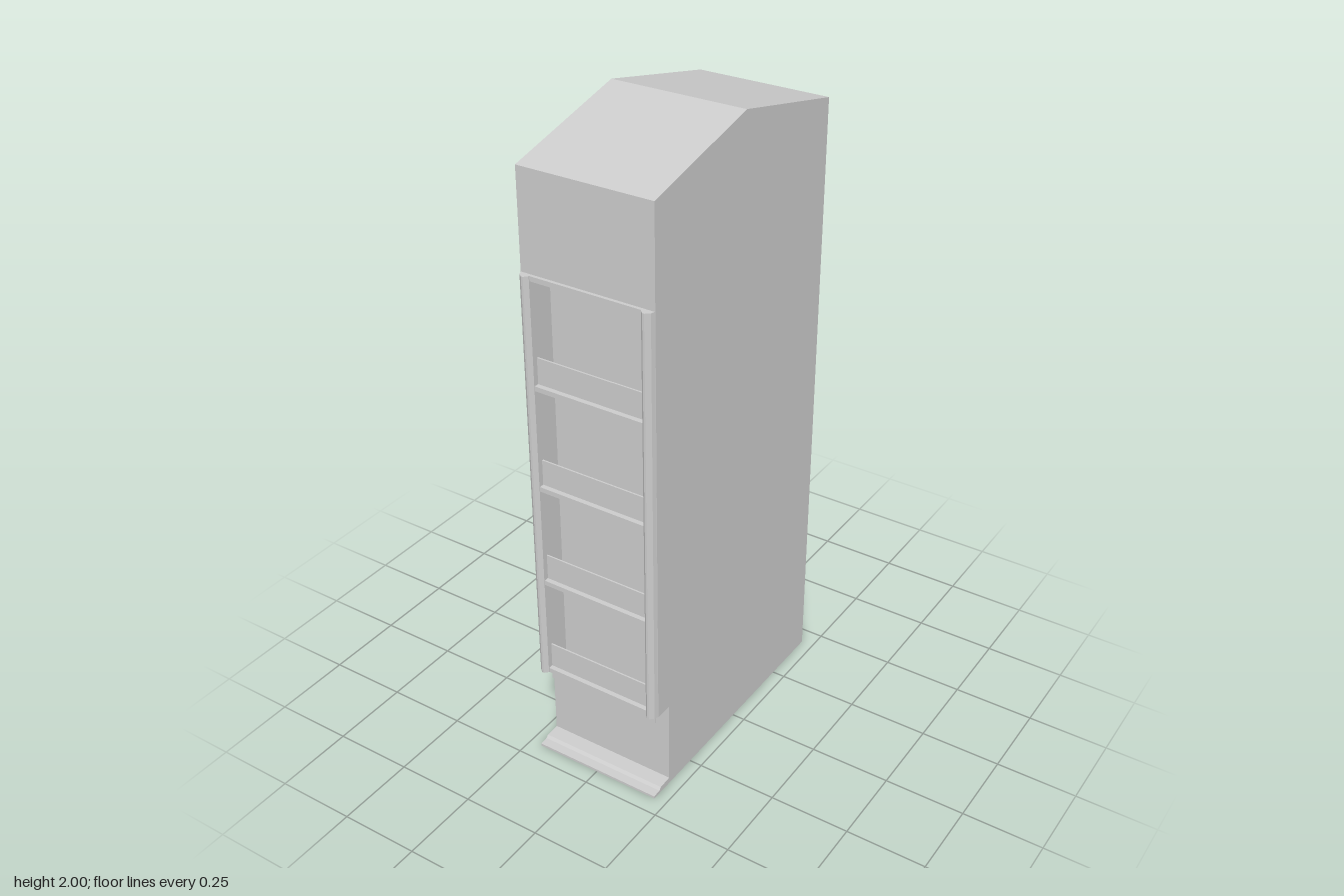
import * as THREE from 'three';

const HALF = 0.21;      // half width of the cabinet
const OPEN = 0.175;     // half width of the shelf opening
const BOTTOM = 0.297, TOP = 1.605; // height range of the shelf frame

export function createModel() {
  const group = new THREE.Group();
  const material = new THREE.MeshStandardMaterial({ color: 0xcccccc, flatShading: true });

  const add = (name, geometry) => {
    const mesh = new THREE.Mesh(geometry, material);
    mesh.name = name;
    group.add(mesh);
  };
  const extrude = (points, depth) => new THREE.ExtrudeGeometry(
    new THREE.Shape(points.map(([a, b]) => new THREE.Vector2(a, b))),
    { depth, bevelEnabled: false });
  // Side profile (z, y) swept across x
  const across = (name, points, x0, x1) =>
    add(name, extrude(points, x1 - x0).rotateY(-Math.PI / 2).translate(x1, 0, 0));
  // Box from minimum and maximum corners
  const box = (name, x0, x1, y0, y1, z0, z1) =>
    add(name, new THREE.BoxGeometry(x1 - x0, y1 - y0, z1 - z0)
      .translate((x0 + x1) / 2, (y0 + y1) / 2, (z0 + z1) / 2));

  // Cabinet core with the shelf recess, and the two full side panels
  const outline = (recess) => [
    [-0.44, 0], [0.365, 0], [0.365, BOTTOM], [recess, BOTTOM],
    [recess, TOP], [0.42, TOP], [0.42, 1.9], [0, 2], [-0.44, 1.9]];
  across('cabinetCore', outline(0.345), -OPEN, OPEN);
  across('rightSidePanel', outline(0.42), -HALF, -OPEN);
  across('leftSidePanel', outline(0.42), OPEN, HALF);

  // Chamfered upright trim on both sides of the opening
  for (const s of [-1, 1]) {
    const section = [[HALF, 0.415], [0.205, 0.432], [0.192, 0.443], [0.186, 0.443],
      [OPEN, 0.432], [OPEN, 0.415]].map(([x, z]) => [x * s, z]);
    add(s < 0 ? 'rightTrim' : 'leftTrim',
      extrude(section, TOP - BOTTOM).rotateX(Math.PI / 2).translate(0, TOP, 0));
  }

  // Shelves with a retaining lip above each, and the head rail
  for (let i = 0; i < 4; i++) {
    const y = 0.312 + i * 0.322;
    box('shelf', -OPEN, OPEN, y - 0.015, y, 0.344, 0.43);
    box('shelfLip', -OPEN, OPEN, y, y + 0.08, 0.41, 0.415);
    // narrow rail tucked under the next shelf
    box('shelfUnderRail', -OPEN, OPEN, y + 0.295, y + 0.308, 0.344, 0.35);
  }
  box('headRail', -OPEN, OPEN, 1.59, TOP, 0.344, 0.43);

  // Thin valance hanging under the frame
  box('valance', -0.187, 0.187, 0.25, BOTTOM, 0.398, 0.402);

  // Stepped floor plinth
  across('plinth', [[0.364, 0], [0.445, 0], [0.445, 0.008], [0.418, 0.01],
    [0.41, 0.018], [0.364, 0.02]], -HALF, HALF);

  return group;
}
